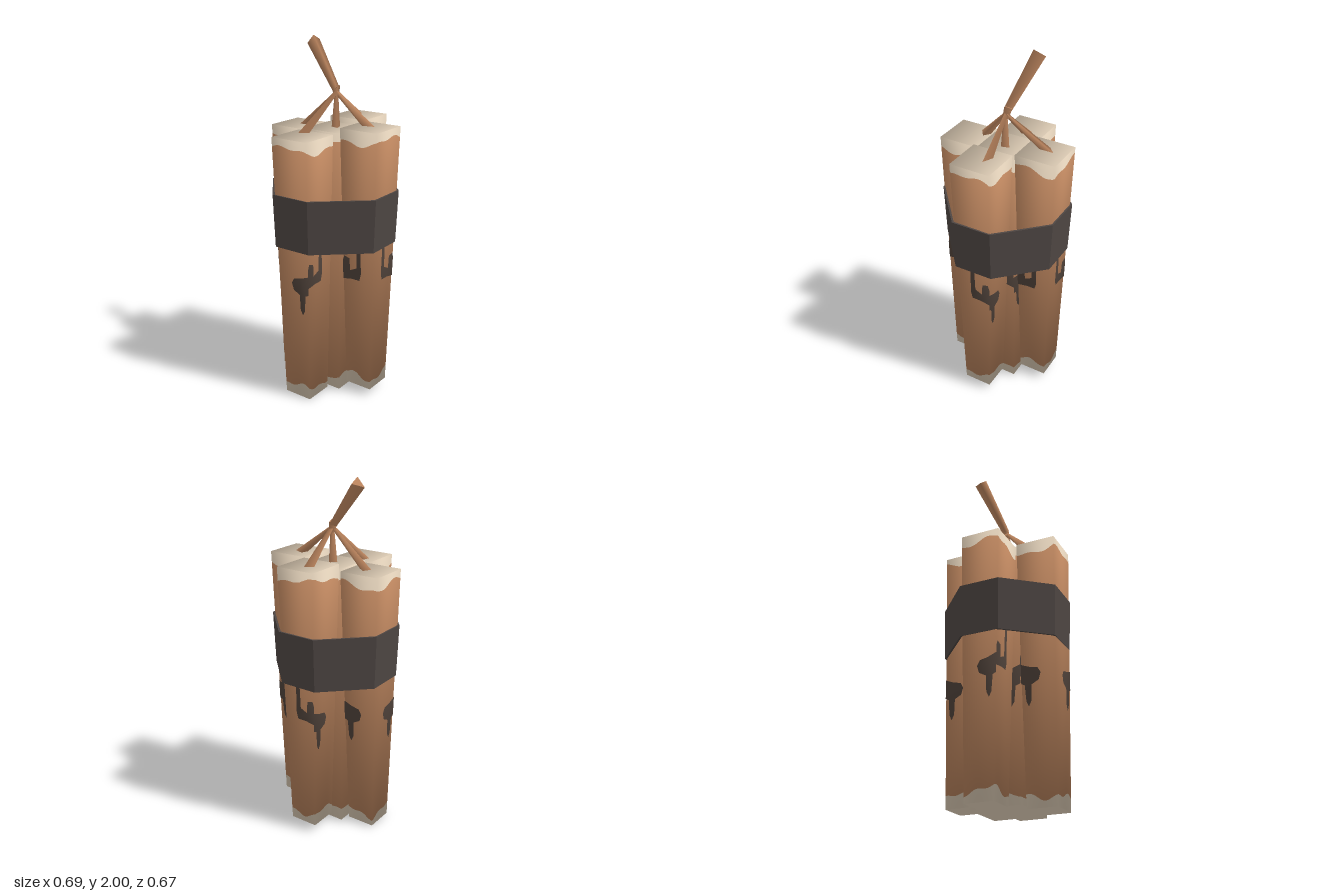
import * as THREE from 'three';

const mat = (name, color, side = THREE.FrontSide) => {
  const m = new THREE.MeshStandardMaterial({ color, side });
  m.name = name;
  return m;
};

// Tapered square stick: returns the point and soft normal on face k at (u across, y up)
function stickSurface({ bottom, top, y0, y1, r0, r1 }) {
  const corner = k => [Math.cos(k * Math.PI / 2), -Math.sin(k * Math.PI / 2)];
  return (k, u, y, lift = 0) => {
    const t = (y - y0) / (y1 - y0);
    const a = corner(k), b = corner(k + 1);
    const dx = a[0] * (1 - u) + b[0] * u, dz = a[1] * (1 - u) + b[1] * u;
    const r = r0 + (r1 - r0) * t + lift * 1.5;
    const p = new THREE.Vector3(
      bottom[0] + (top[0] - bottom[0]) * t + dx * r, y,
      bottom[1] + (top[1] - bottom[1]) * t + dz * r);
    const n = new THREE.Vector3(dx * 1.4, 2 * t - 1, dz * 1.4).normalize();
    return { p, n };
  };
}

function geometryFrom(verts, index) {
  const g = new THREE.BufferGeometry();
  g.setAttribute('position', new THREE.Float32BufferAttribute(verts.flatMap(v => v.p.toArray()), 3));
  g.setAttribute('normal', new THREE.Float32BufferAttribute(verts.flatMap(v => v.n.toArray()), 3));
  g.setIndex(index);
  return g;
}

// Wraps all four faces between two height functions; closes an end if asked
function sleeve(at, low, high, end) {
  const verts = [], index = [], cols = 14;
  for (let k = 0; k < 4; k++) {
    const base = verts.length;
    for (let i = 0; i <= cols; i++) {
      const u = i / cols, angle = (k + u) * Math.PI / 2;
      verts.push(at(k, u, low(angle)), at(k, u, high(angle)));
      if (i === cols) continue;
      const a = base + i * 2;
      index.push(a, a + 2, a + 3, a, a + 3, a + 1);
    }
  }
  if (end) {
    const y = end === 'top' ? high(0) : low(0), a = verts.length;
    for (let k = 0; k < 4; k++) verts.push(at(k, 0, y));
    if (end === 'top') index.push(a, a + 1, a + 2, a, a + 2, a + 3);
    else index.push(a, a + 2, a + 1, a, a + 3, a + 2);
  }
  return geometryFrom(verts, index);
}

// Stain outlines: distance from a corner (0..1) and height
const HOOK = [[0, 0.7], [0.3, 0.71], [0.55, 0.71], [0.6, 0.75], [0.58, 0.95], [0.47, 0.95],
  [0.45, 0.78], [0.24, 0.76], [0.22, 0.83], [0.05, 0.84], [0, 0.81]];
const DRIP = [[0, 0.66], [0.1, 0.65], [0.13, 0.56], [0.2, 0.53], [0.28, 0.56], [0.3, 0.65],
  [0.5, 0.67], [0.56, 0.71], [0.48, 0.74], [0.25, 0.75], [0, 0.77]];

function stain(at, k, outline, flip) {
  const shape = new THREE.Shape(outline.map(([s, y]) => new THREE.Vector2(flip ? 1 - s : s, y)));
  const flat = new THREE.ShapeGeometry(shape);
  const pos = flat.getAttribute('position'), verts = [];
  for (let i = 0; i < pos.count; i++) verts.push(at(k, pos.getX(i), pos.getY(i), 0.002));
  return geometryFrom(verts, Array.from(flat.index.array));
}

export function createModel() {
  const model = new THREE.Group();
  model.name = 'bundle';
  const brown = mat('brown wrapper', 0xb8825c);
  const cream = mat('cream ends', 0xdccbb4);
  const dark = mat('dark band', 0x4e4643);
  const soot = mat('dark stain', 0x4f423a);
  const add = (parent, name, geometry, material) => {
    const mesh = new THREE.Mesh(geometry, material);
    mesh.name = name;
    parent.add(mesh);
    return mesh;
  };

  // Five sticks: four round a wider-footed centre one
  const sticks = [
    { name: 'frontLeftStick', bottom: [0.175, 0.172], top: [0.178, 0.17], y0: 0.04, y1: 1.555, r0: 0.115, r1: 0.163 },
    { name: 'backLeftStick', bottom: [0.175, -0.172], top: [0.178, -0.168], y0: 0.045, y1: 1.555, r0: 0.115, r1: 0.163, turned: true },
    { name: 'frontRightStick', bottom: [-0.172, 0.155], top: [-0.181, 0.147], y0: 0, y1: 1.515, r0: 0.12, r1: 0.163, turned: true },
    { name: 'backRightStick', bottom: [-0.16, -0.172], top: [-0.153, -0.172], y0: 0.005, y1: 1.515, r0: 0.115, r1: 0.163 },
    { name: 'centreStick', bottom: [0.008, 0], top: [0.008, 0], y0: 0.015, y1: 1.525, r0: 0.213, r1: 0.165 },
  ];
  sticks.forEach((s, i) => {
    const group = new THREE.Group();
    group.name = s.name;
    model.add(group);
    const at = stickSurface(s);
    const wave = (a, ph) => 0.06 + 0.018 * Math.sin(2 * a + ph) + 0.01 * Math.sin(5 * a + ph * 2);
    const upper = a => s.y1 - wave(a, i * 1.7);
    const lower = a => s.y0 + wave(a, i * 2.3 + 1);
    add(group, 'wrapper', sleeve(at, lower, upper), brown);
    add(group, 'topEnd', sleeve(at, upper, () => s.y1, 'top'), cream);
    add(group, 'bottomEnd', sleeve(at, () => s.y0, lower, 'bottom'), cream);
    // Stains wrap two opposite corners
    const patches = s.turned
      ? [[2, DRIP, true], [3, HOOK, false], [1, DRIP, false], [0, HOOK, true]]
      : [[0, DRIP, false], [3, HOOK, true], [1, DRIP, true], [2, HOOK, false]];
    patches.forEach(([k, outline, flip]) => add(group, 'stain', stain(at, k, outline, flip), soot));
  });

  // Eight-sided band, slightly narrower at its lower edge
  const ring = [[-0.155, -0.337], [-0.318, -0.173], [-0.346, 0.148], [-0.181, 0.309],
    [0.18, 0.335], [0.341, 0.171], [0.341, -0.17], [0.18, -0.332]];
  const bandPos = [];
  const point = (i, scale, y) => [ring[i % 8][0] * scale, y, ring[i % 8][1] * scale];
  const profile = [[0.968, 0.9], [1, 1.2], [0.968, 1.2], [0.938, 0.9]];
  for (let i = 0; i < 8; i++) {
    profile.forEach(([s0, h0], j) => {
      const [s1, h1] = profile[(j + 1) % 4];
      const a = point(i, s0, h0), b = point(i + 1, s0, h0), c = point(i + 1, s1, h1), d = point(i, s1, h1);
      bandPos.push(...a, ...b, ...c, ...a, ...c, ...d);
    });
  }
  const band = new THREE.BufferGeometry();
  band.setAttribute('position', new THREE.Float32BufferAttribute(bandPos, 3));
  band.computeVertexNormals();
  add(model, 'band', band, dark);

  // Three-sided fuse strands meeting at a knot
  const fuse = new THREE.Group();
  fuse.name = 'fuse';
  model.add(fuse);
  const strand = (name, from, to, r0, r1) => {
    const a = new THREE.Vector3(...from), b = new THREE.Vector3(...to);
    const dir = b.clone().sub(a);
    const mesh = add(fuse, name, new THREE.CylinderGeometry(r1, r0, dir.length(), 3), brown);
    mesh.position.copy(a).add(b).multiplyScalar(0.5);
    mesh.quaternion.setFromUnitVectors(new THREE.Vector3(0, 1, 0), dir.normalize());
  };
  const knot = [0.024, 1.715, 0];
  const feet = [[-0.18, 1.49, 0.075], [0.195, 1.53, 0.155], [0.19, 1.53, -0.21], [-0.14, 1.49, -0.175], [0.022, 1.5, 0]];
  feet.forEach(f => strand('fuseLeg', knot, f, 0.011, 0.029));
  strand('fuseKnot', [0.024, 1.69, 0], [0.025, 1.75, -0.015], 0.02, 0.024);
  strand('fuseTip', [0.025, 1.73, -0.008], [-0.073, 1.977, -0.205], 0.024, 0.042);

  return model;
}
